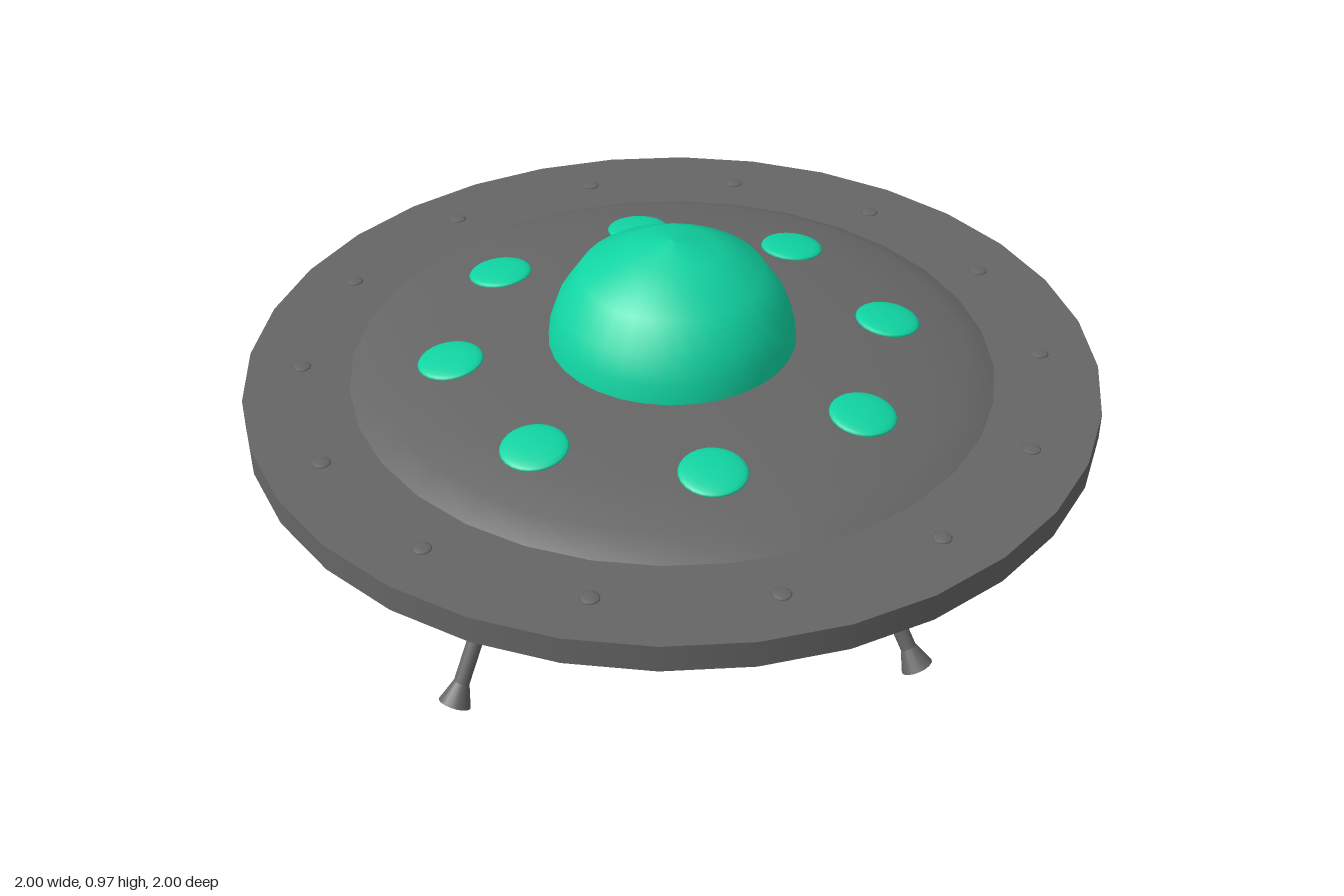
import * as THREE from 'three';

export function createModel() {
  const hull = new THREE.MeshStandardMaterial({ color: 0x666666 });
  hull.name = 'hull grey';
  const glass = new THREE.MeshStandardMaterial({ color: 0x10d4a2 });
  glass.name = 'glass green';

  const model = new THREE.Group();
  model.name = 'flyingSaucer';

  const add = (parent, name, geometry, material) => {
    const mesh = new THREE.Mesh(geometry, material);
    mesh.name = name;
    parent.add(mesh);
    return mesh;
  };
  // Turned surface; profile runs from the bottom, outward and up, as [radius, y]
  const turned = (name, profile, material, sides = 32) =>
    add(model, name, new THREE.LatheGeometry(
      profile.map(([r, y]) => new THREE.Vector2(r, y)), sides), material);

  // Body, one surface per hard edge
  turned('baseBottom', [[0, 0.265], [0.38, 0.265]], hull);
  turned('baseWall', [[0.38, 0.265], [0.38, 0.335]], hull);
  turned('lowerHull', [[0.38, 0.33], [0.75, 0.577]], hull);
  turned('rimUnderside', [[0.74, 0.577], [1, 0.577]], hull);
  turned('rimEdge', [[1, 0.577], [1, 0.642]], hull);
  turned('rimTop', [[1, 0.642], [0.74, 0.642]], hull);
  turned('upperHull', [[0.755, 0.642], [0.69, 0.673], [0.56, 0.694], [0.42, 0.71],
    [0.27, 0.717]], hull);

  // Cockpit dome
  turned('cockpitDome', [[0.29, 0.712], [0.284, 0.76], [0.264, 0.815], [0.213, 0.89],
    [0.108, 0.947], [0, 0.97]], glass);

  // Ring of eight lens-shaped portholes, tilted with the hull
  for (let i = 0; i < 8; i++) {
    const arm = new THREE.Group();
    arm.name = 'portholeArm';
    arm.rotation.y = i * Math.PI / 4;
    const lens = add(arm, 'porthole', new THREE.SphereGeometry(0.077, 24, 12), glass);
    lens.scale.y = 0.18;
    lens.position.set(0, 0.699, 0.519);
    lens.rotation.x = 0.11;
    model.add(arm);
  }

  // Low rivets around the rim
  for (let i = 0; i < 14; i++) {
    const a = THREE.MathUtils.degToRad(5) + i * Math.PI * 2 / 14;
    const rivet = add(model, 'rivet', new THREE.SphereGeometry(0.022, 12, 6), hull);
    rivet.scale.y = 0.2;
    rivet.position.set(0.87 * Math.sin(a), 0.642, 0.87 * Math.cos(a));
  }

  // Four splayed legs with flared feet, a quarter turn apart
  const centre = new THREE.Vector3(-0.013, 0, 0);
  for (let i = 0; i < 4; i++) {
    const turn = (v) => v.applyAxisAngle(new THREE.Vector3(0, 1, 0), i * Math.PI / 2);
    const footShift = i % 2 ? [0.573, 0.02, 0.417] : [0.523, 0.02, 0.476];
    const signs = [[1, 1], [1, -1], [-1, -1], [-1, 1]][i];
    const foot = new THREE.Vector3(footShift[0] * signs[0], footShift[1],
      footShift[2] * signs[1]).add(centre);
    const top = foot.clone().add(turn(new THREE.Vector3(-0.152, 0.375, -0.165)));
    const axis = top.clone().sub(foot);
    const length = axis.length();

    const leg = new THREE.Group();
    leg.name = 'leg';
    leg.position.copy(foot);
    leg.quaternion.setFromUnitVectors(new THREE.Vector3(0, 1, 0), axis.normalize());
    const strut = add(leg, 'strut',
      new THREE.CylinderGeometry(0.019, 0.019, length - 0.04, 16), hull);
    strut.position.y = (length + 0.04) / 2;
    const pad = add(leg, 'foot', new THREE.CylinderGeometry(0.019, 0.039, 0.055, 16), hull);
    pad.position.y = 0.0275;
    model.add(leg);
  }

  return model;
}
